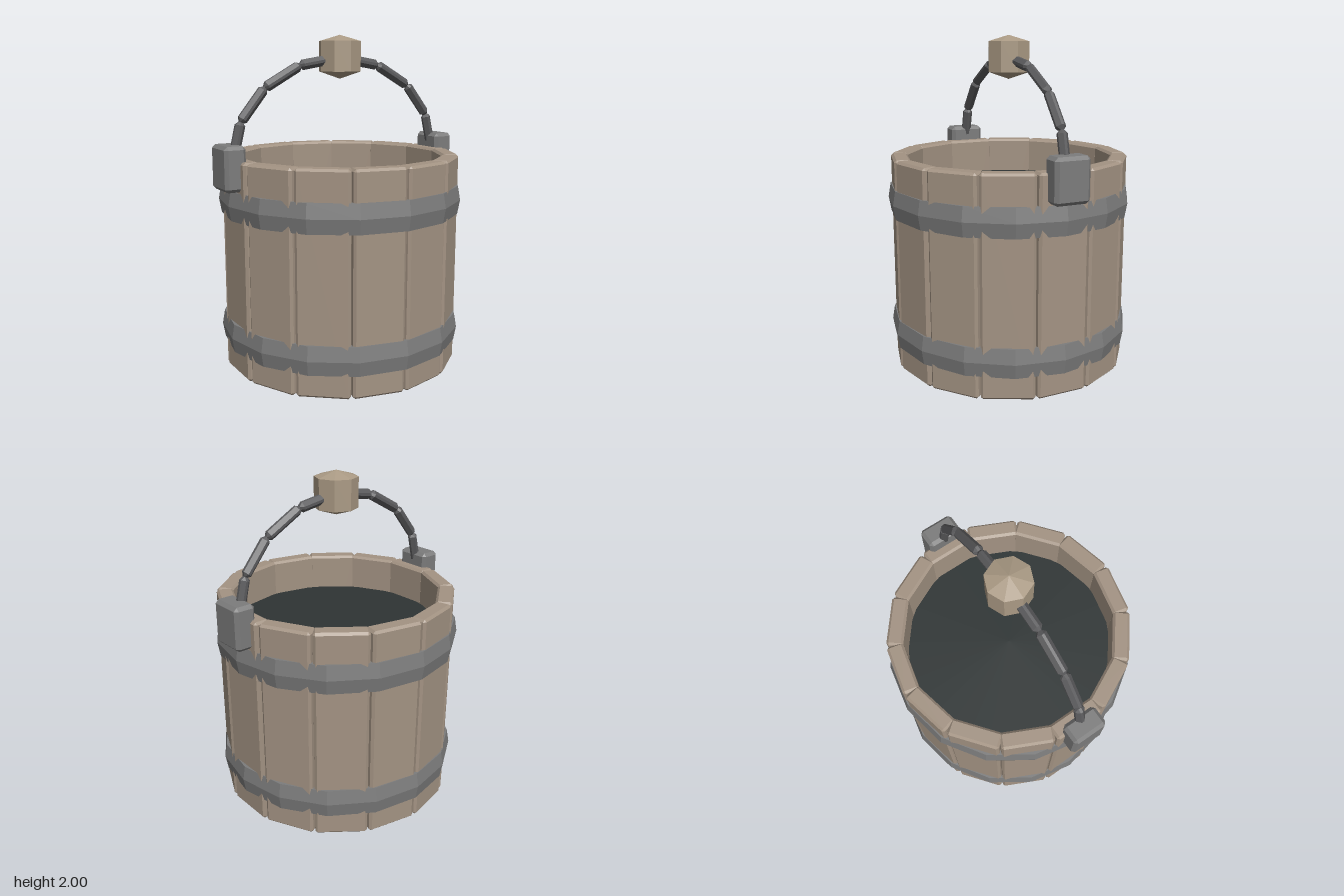
import * as THREE from 'three';
import { ConvexGeometry } from 'three/addons/geometries/ConvexGeometry.js';

const paint = (color, extra = {}) => new THREE.MeshStandardMaterial({ color, flatShading: true, ...extra });

// Box with flat chamfers: three small corner points at each of the eight corners
function chamferBox(w, h, d, c) {
  const pts = [];
  const x = w / 2, y = h / 2, z = d / 2;
  for (const sx of [-1, 1]) for (const sy of [-1, 1]) for (const sz of [-1, 1]) {
    pts.push(
      new THREE.Vector3(sx * x, sy * (y - c), sz * (z - c)),
      new THREE.Vector3(sx * (x - c), sy * y, sz * (z - c)),
      new THREE.Vector3(sx * (x - c), sy * (y - c), sz * z)
    );
  }
  return new ConvexGeometry(pts);
}

const lathe = (points, sides) => new THREE.LatheGeometry(points.map(([r, y]) => new THREE.Vector2(r, y)), sides);

export function createModel() {
  const model = new THREE.Group();
  model.name = 'bucket';
  const wood = paint(0xa39383), handleWood = paint(0xaa9a84);
  const iron = paint(0x7c7c7c), darkIron = paint(0x5a5a5c);

  const add = (name, geometry, material, parent = model) => {
    const mesh = new THREE.Mesh(geometry, material);
    mesh.name = name;
    parent.add(mesh);
    return mesh;
  };

  // Ring of straight staves, one centred on each side
  const staves = new THREE.Group();
  staves.name = 'staves';
  model.add(staves);
  const staveCount = 14;
  const staveGeometry = chamferBox(0.1, 1.29, 0.306, 0.014);
  for (let i = 0; i < staveCount; i++) {
    const a = (i / staveCount) * Math.PI * 2;
    const stave = add('stave', staveGeometry, wood, staves);
    stave.position.set(0.66 * Math.cos(a), 0.645, -0.66 * Math.sin(a));
    stave.rotation.y = a;
  }

  // Floor and the dark water surface
  const floor = add('floor', new THREE.CylinderGeometry(0.615, 0.615, 0.03, 32), paint(0x3c362f));
  floor.position.y = 0.03;
  const water = add('water', new THREE.CircleGeometry(0.62, 32), paint(0x2e3434, { side: THREE.DoubleSide }));
  water.rotation.x = -Math.PI / 2;
  water.position.y = 1.07;

  // Two bulging iron hoops
  const h = 0.086;
  const hoopGeometry = lathe([[0.685, 0], [0.7, -h], [0.73, -h], [0.745, 0], [0.73, h], [0.7, h], [0.685, 0]], 16);
  for (const y of [0.225, 1.025]) add('hoop', hoopGeometry, iron).position.y = y;

  // Brackets holding the handle
  const bracketGeometry = chamferBox(0.13, 0.26, 0.216, 0.02);
  for (const side of [-1, 1]) add('bracket', bracketGeometry, iron).position.set(side * 0.733, 1.25, 0);

  // Handle of eight pinched links along half an ellipse
  const handle = new THREE.Group();
  handle.name = 'handle';
  model.add(handle);
  const arc = (i) => {
    const t = (i / 8) * Math.PI;
    return new THREE.Vector3(0.71 * Math.cos(t), 1.28 + 0.585 * Math.sin(t), 0);
  };
  const up = new THREE.Vector3(0, 1, 0);
  for (let i = 0; i < 8; i++) {
    const a = arc(i), b = arc(i + 1);
    const dir = b.clone().sub(a);
    const link = add('handleLink', chamferBox(0.06, dir.length() + 0.008, 0.06, 0.022), darkIron, handle);
    link.position.copy(a).add(b).multiplyScalar(0.5);
    link.quaternion.setFromUnitVectors(up, dir.normalize());
  }

  // Eight-sided wooden grip with shallow pointed ends
  add('grip', lathe([[0, 1.74], [0.13, 1.783], [0.13, 1.963], [0, 2]], 8), handleWood, handle);

  return model;
}
